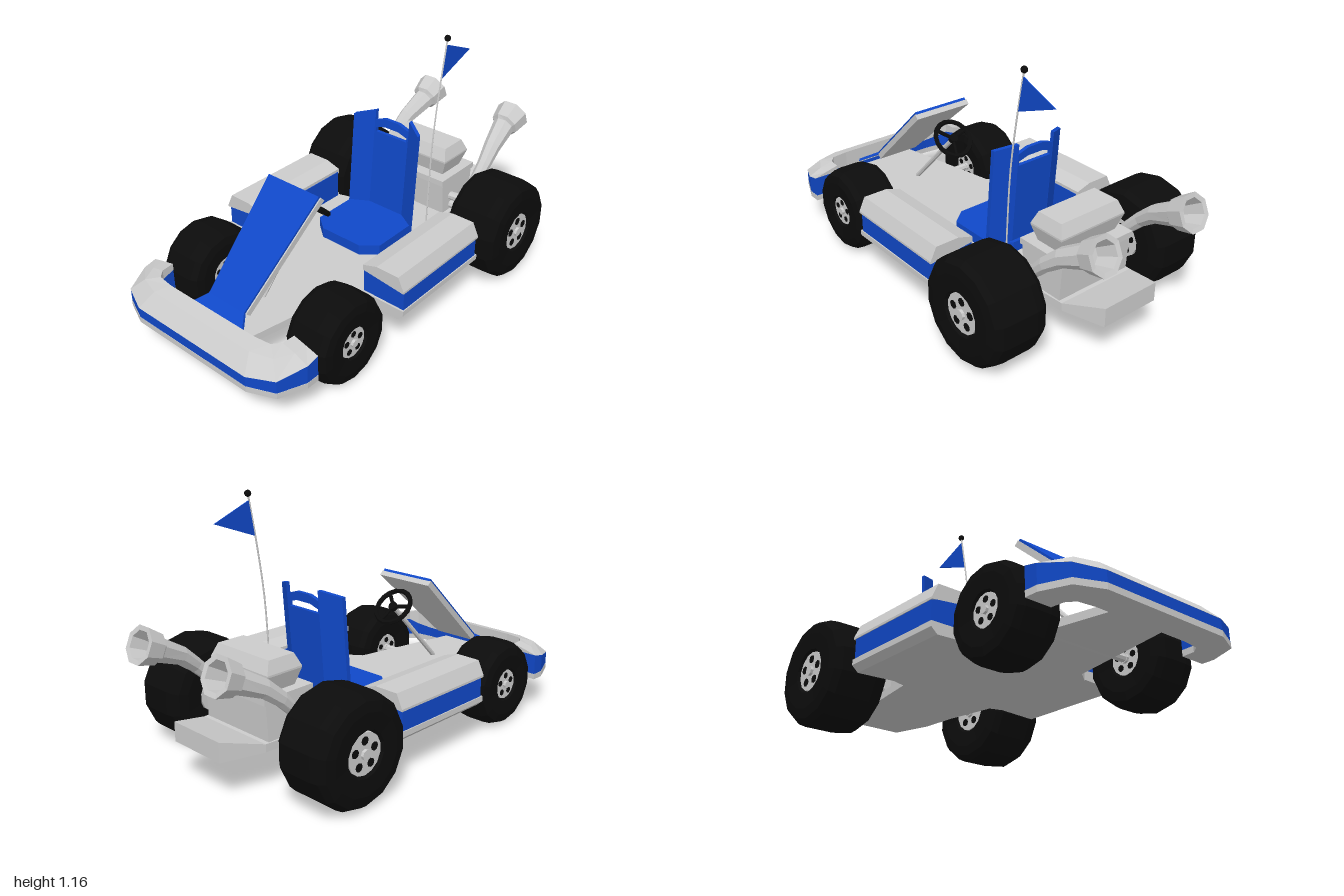
import * as THREE from 'three';

const paint = (color) => new THREE.MeshStandardMaterial({ color, flatShading: true, side: THREE.DoubleSide });
const grey = paint(0xcccccc), blue = paint(0x1048c8), black = paint(0x0c0c0c);

function add(parent, name, geometry, material) {
  const mesh = new THREE.Mesh(geometry, material);
  mesh.name = name;
  parent.add(mesh);
  return mesh;
}

// Solid skin through closed rings of [x, y, z] points, capped at both ends
function loft(rings, capEnd = true) {
  const tris = [], n = rings[0].length;
  for (let r = 0; r < rings.length - 1; r++) {
    const a = rings[r], b = rings[r + 1];
    for (let i = 0; i < n; i++) {
      const j = (i + 1) % n;
      tris.push([a[i], a[j], b[j]], [a[i], b[j], b[i]]);
    }
  }
  const first = rings[0], last = rings[rings.length - 1];
  for (let i = 1; i < n - 1; i++) {
    tris.push([first[0], first[i + 1], first[i]]);
    if (capEnd) tris.push([last[0], last[i], last[i + 1]]);
  }
  // Turn the faces outward
  const v = (p) => new THREE.Vector3(...p), o = v(first[0]);
  let volume = 0;
  for (const t of tris) {
    const [a, b, c] = t.map((p) => v(p).sub(o));
    volume += a.dot(b.cross(c));
  }
  if (volume < 0) tris.forEach((t) => t.reverse());
  const g = new THREE.BufferGeometry();
  g.setAttribute('position', new THREE.Float32BufferAttribute(tris.flat(2), 3));
  g.computeVertexNormals();
  return g;
}

// Level rectangle, symmetric in z
const rect = (x0, x1, z, y) => [[x0, y, -z], [x0, y, z], [x1, y, z], [x1, y, -z]];

// Cylinder between two points
function rod(parent, name, from, to, radius, material, sides = 8) {
  const a = new THREE.Vector3(...from), b = new THREE.Vector3(...to);
  const m = add(parent, name, new THREE.CylinderGeometry(radius, radius, a.distanceTo(b), sides), material);
  m.position.copy(a).add(b).multiplyScalar(0.5);
  m.quaternion.setFromUnitVectors(new THREE.Vector3(0, 1, 0), b.sub(a).normalize());
  return m;
}

// Outline in x, z (one half) mirrored and laid flat with its top at the given height
function plate(half, top, depth) {
  const pts = [...half, ...half.map(([x, z]) => [x, -z]).reverse()];
  const g = new THREE.ExtrudeGeometry(new THREE.Shape(pts.map((p) => new THREE.Vector2(...p))), { depth, bevelEnabled: false });
  return g.rotateX(Math.PI / 2).translate(0, top, 0);
}

// Wheel whose axle lies along z
function wheel(name, r, width, hub) {
  const g = new THREE.Group(), h = width / 2;
  g.name = name;
  const side = [[hub, h - 0.03], [hub * 1.12, h - 0.005], [r * 0.72, h], [r * 0.9, h - 0.008], [r * 0.98, h - 0.035], [r, h - 0.07]].reverse();
  const profile = [...side.map(([x, y]) => [x, -y]).reverse(), ...side];
  add(g, 'tyre', new THREE.LatheGeometry(profile.map((p) => new THREE.Vector2(...p)), 14).rotateX(Math.PI / 2), black);
  add(g, 'hub', new THREE.CylinderGeometry(hub, hub, width - 0.03, 14).rotateX(Math.PI / 2), grey);
  add(g, 'hubCap', new THREE.CylinderGeometry(hub * 0.25, hub * 0.3, width - 0.005, 8).rotateX(Math.PI / 2), grey);
  for (let i = 0; i < 5; i++) {
    const a = Math.PI / 2 + i * Math.PI * 0.4;
    const hole = add(g, 'hubHole', new THREE.CylinderGeometry(hub * 0.21, hub * 0.21, width - 0.026, 8).rotateX(Math.PI / 2), black);
    hole.position.set(Math.cos(a) * hub * 0.62, Math.sin(a) * hub * 0.62, 0);
  }
  return g;
}

export function createModel() {
  const kart = new THREE.Group();
  kart.name = 'goKart';

  // Floor pan and rising rear plate
  add(kart, 'floorPan', plate([[-0.88, 0.14], [-0.8, 0.155], [-0.33, 0.245], [-0.28, 0.315], [0.26, 0.315], [0.28, 0.25], [0.53, 0.21], [0.7, 0.2]], 0.225, 0.035), grey);
  const slice = (x, z, top) => [[x, 0.19, -z], [x, 0.19, z], [x, top, z], [x, top, -z]];
  add(kart, 'rearPlate', loft([slice(0.7, 0.2, 0.225), slice(0.89, 0.145, 0.278)]), grey);

  // Front bumper: three layers swept around a U of [outer x, outer z, inner x, inner z]
  const halfU = [[-0.77, 0.49, -0.77, 0.365], [-0.83, 0.49, -0.83, 0.36], [-0.95, 0.44, -0.865, 0.33], [-1, 0.32, -0.875, 0.25]];
  const path = [...halfU, ...halfU.map(([a, b, c, d]) => [a, -b, c, -d]).reverse()];
  const shoulder = (x) => 0.245 + (x + 1) * 0.21;
  const sweep = (section) => loft(path.map(([ox, oz, ix, iz]) =>
    section(ox).map(([t, y]) => [ox + (ix - ox) * t, y, oz + (iz - oz) * t])));
  const bumper = new THREE.Group();
  bumper.name = 'frontBumper';
  kart.add(bumper);
  add(bumper, 'bumperBase', sweep(() => [[0, 0.17], [1, 0.17], [1, 0.197], [0, 0.197]]), grey);
  add(bumper, 'bumperBand', sweep((x) => [[0.01, 0.197], [0.99, 0.197], [0.99, shoulder(x)], [0.01, shoulder(x)]]), blue);
  add(bumper, 'bumperTop', sweep((x) => [[0, shoulder(x)], [1, shoulder(x)], [1, 0.325], [0.5, 0.31]]), grey);

  // Nose panel: blue skin over a grey slab
  const nose = [[-0.89, 0.25, 0.185], [-0.79, 0.31, 0.105], [-0.375, 0.685, 0.145]];
  const noseLayer = (list, hi, lo, extra) => loft(list.map(([x, y, z]) => [
    [x - hi, y + hi, z + extra], [x - hi, y + hi, -z - extra], [x - lo, y + lo, -z - extra], [x - lo, y + lo, z + extra]]));
  add(kart, 'noseSkin', noseLayer(nose, 0.003, -0.006, 0), blue);
  add(kart, 'noseSlab', noseLayer(nose.slice(1), -0.004, -0.024, 0.006), grey);

  // Steering column and wheel
  rod(kart, 'steeringColumn', [-0.59, 0.225, 0], [-0.29, 0.535, 0], 0.012, grey);
  const steering = new THREE.Group();
  steering.name = 'steeringWheel';
  steering.position.set(-0.28, 0.545, 0);
  steering.quaternion.setFromUnitVectors(new THREE.Vector3(0, 0, 1), new THREE.Vector3(0.7, 0.72, 0).normalize());
  add(steering, 'rim', new THREE.TorusGeometry(0.09, 0.012, 6, 16), black);
  add(steering, 'boss', new THREE.CylinderGeometry(0.022, 0.022, 0.02, 8).rotateX(Math.PI / 2), black);
  for (let i = 0; i < 3; i++) {
    const a = i * Math.PI * 2 / 3 + Math.PI;
    rod(steering, 'spoke', [0, 0, 0], [Math.cos(a) * 0.09, Math.sin(a) * 0.09, 0], 0.009, black, 6);
  }
  kart.add(steering);

  // Seat: cushion, slotted back and two forward wings
  const seat = new THREE.Group();
  seat.name = 'seat';
  kart.add(seat);
  add(seat, 'cushion', plate([[-0.08, 0.11], [-0.02, 0.185], [0.22, 0.185], [0.285, 0.1]], 0.275, 0.05), blue);
  const back = new THREE.Shape([[-0.1, 0.23], [0.1, 0.23], [0.1, 0.71], [0.04, 0.73], [-0.04, 0.73], [-0.1, 0.71]].map((p) => new THREE.Vector2(...p)));
  back.holes.push(new THREE.Path([[-0.09, 0.655], [-0.09, 0.675], [-0.04, 0.69], [0.04, 0.69], [0.09, 0.675], [0.09, 0.655]].map((p) => new THREE.Vector2(...p))));
  const lean = (y) => 0.265 + (y - 0.23) * 0.08;
  const backGeo = new THREE.ExtrudeGeometry(back, { depth: 0.018, bevelEnabled: false }).rotateY(Math.PI / 2);
  const bp = backGeo.attributes.position;
  for (let i = 0; i < bp.count; i++) bp.setX(i, bp.getX(i) + lean(bp.getY(i)) - 0.018);
  backGeo.computeVertexNormals();
  add(seat, 'seatBack', backGeo, blue);
  for (const s of [1, -1]) {
    const edge = (z, off, lo, hi) => [[lean(lo) + off, lo, z * s], [lean(hi) + off, hi, z * s], [lean(hi) + off - 0.02, hi, z * s], [lean(lo) + off - 0.02, lo, z * s]];
    add(seat, 'seatWing', loft([edge(0.098, 0.003, 0.23, 0.76), edge(0.188, -0.05, 0.23, 0.735)]), blue);
  }

  // Engine block, head plate and tapered air box
  const engine = new THREE.Group();
  engine.name = 'engine';
  kart.add(engine);
  add(engine, 'block', loft([rect(0.46, 0.68, 0.195, 0.22), rect(0.45, 0.69, 0.195, 0.385)]), grey);
  add(engine, 'headPlate', loft([rect(0.44, 0.7, 0.2, 0.385), rect(0.44, 0.7, 0.2, 0.413)]), grey);
  add(engine, 'airBox', loft([rect(0.5, 0.64, 0.155, 0.413), rect(0.48, 0.665, 0.18, 0.488), rect(0.48, 0.665, 0.18, 0.496), rect(0.505, 0.64, 0.16, 0.552)]), grey);

  // Parts that repeat on both sides
  for (const s of [1, -1]) {
    const side = new THREE.Group();
    side.name = s > 0 ? 'leftSide' : 'rightSide';
    side.scale.z = s;
    kart.add(side);

    // Side pod: grey sill, blue body, grey cap
    const bar = (profile, x0, x1) => loft([x0, x1].map((x) => profile.map(([z, y]) => [x, y, z])));
    add(side, 'podSill', bar([[0.31, 0.19], [0.5, 0.183], [0.53, 0.21], [0.53, 0.235], [0.31, 0.235]], -0.29, 0.26), grey);
    add(side, 'podBody', bar([[0.308, 0.225], [0.525, 0.225], [0.525, 0.33], [0.385, 0.385], [0.308, 0.36]], -0.28, 0.25), blue);
    add(side, 'podCap', bar([[0.53, 0.325], [0.53, 0.335], [0.5, 0.398], [0.385, 0.398], [0.31, 0.375], [0.31, 0.35], [0.385, 0.365]], -0.29, 0.26), grey);

    // Wheels and axles
    const front = wheel('frontWheel', 0.202, 0.225, 0.07);
    front.position.set(-0.545, 0.205, 0.378);
    const rear = wheel('rearWheel', 0.243, 0.275, 0.09);
    rear.position.set(0.526, 0.248, 0.453);
    side.add(front, rear);
    rod(side, 'frontAxle', [-0.545, 0.205, 0], [-0.545, 0.205, 0.37], 0.018, grey);
    rod(side, 'rearAxle', [0.526, 0.248, 0], [0.526, 0.248, 0.45], 0.02, grey);

    // Exhaust: octagonal rings [x, y, z, radius, tilt, yaw], flaring into a hollow horn
    const rings = [
      [0.52, 0.3, 0.19, 0.02, 0, 1.57], [0.525, 0.3, 0.24, 0.022, 0.1, 1.2], [0.56, 0.315, 0.27, 0.026, 0.5, 0.3],
      [0.68, 0.435, 0.275, 0.034, 0.65, -0.1], [0.76, 0.5, 0.265, 0.042, 0.5, -0.12], [0.88, 0.56, 0.248, 0.055, 0.4, -0.05],
      [0.89, 0.567, 0.248, 0.07, 0.4, 0], [0.965, 0.6, 0.248, 0.085, 0.4, 0], [0.963, 0.599, 0.248, 0.063, 0.4, 0], [0.88, 0.56, 0.248, 0.045, 0.4, 0]];
    add(side, 'exhaust', loft(rings.map(([x, y, z, r, tilt, yaw]) => Array.from({ length: 8 }, (_, i) => {
      const a = (i + 0.5) * Math.PI / 4;
      const p = new THREE.Vector3(0, Math.sin(a) * r, Math.cos(a) * r).applyEuler(new THREE.Euler(0, -yaw, tilt, 'YZX'));
      return [x + p.x, y + p.y, z + p.z];
    }))), grey);
  }

  // Curved flag pole, tip ball and pennant
  const pole = new THREE.CatmullRomCurve3([[0.335, 0.225], [0.342, 0.42], [0.36, 0.7], [0.4, 0.97], [0.433, 1.15]].map(([x, y]) => new THREE.Vector3(x, y, 0.187)));
  add(kart, 'flagPole', new THREE.TubeGeometry(pole, 12, 0.004, 6), grey);
  add(kart, 'poleTip', new THREE.SphereGeometry(0.015, 10, 8), black).position.set(0.433, 1.15, 0.187);
  const pennant = new THREE.Shape([[0.402, 0.965], [0.615, 1.045], [0.43, 1.12]].map((p) => new THREE.Vector2(...p)));
  add(kart, 'flag', new THREE.ExtrudeGeometry(pennant, { depth: 0.004, bevelEnabled: false }).translate(0, 0, 0.185), blue);

  return kart;
}
